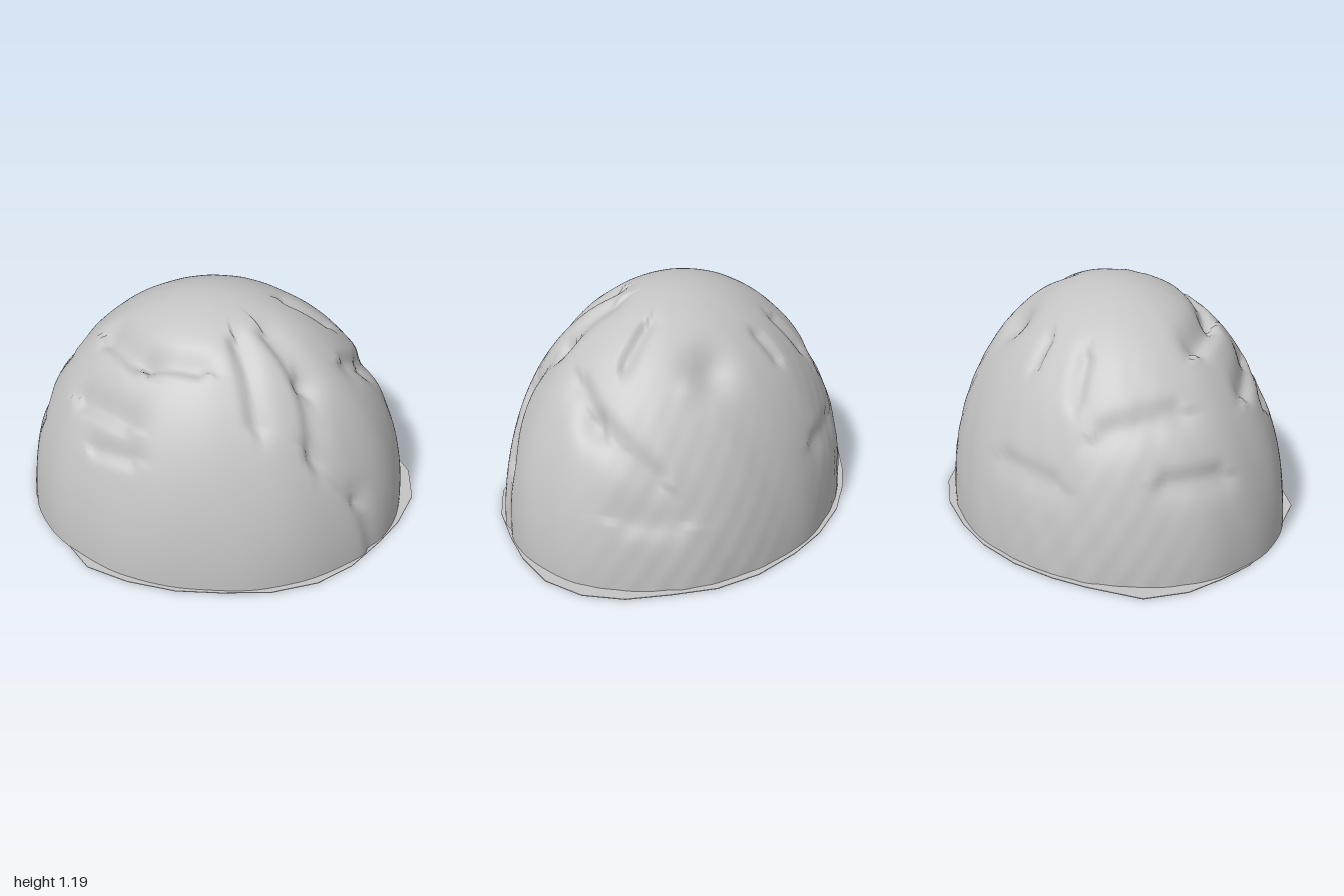
import * as THREE from 'three';
import { mergeVertices } from 'three/addons/utils/BufferGeometryUtils.js';

const RX = 0.955, RY = 1.19, RZ = 0.805, CX = -0.015;

// A plan position (x, z) lifted onto the unit hemisphere
function onDome(x, z) {
  const u = (x - CX) / RX, w = z / RZ;
  return new THREE.Vector3(u, Math.sqrt(Math.max(0, 1 - u * u - w * w)), w).normalize();
}

// Eroded grooves: start x, z, end x, z, soft width, depth (one side is steeper)
const grooves = [
  [-0.53, 0.14, -0.36, 0.34, 0.10, 0.045],
  [-0.30, 0.36, -0.06, 0.41, 0.08, 0.035],
  [-0.64, 0.34, -0.40, 0.52, 0.09, 0.04],
  [-0.55, 0.53, -0.36, 0.62, 0.07, 0.03],
  [0.10, 0.28, 0.22, 0.54, 0.08, 0.03],
  [0.24, 0.20, 0.42, 0.34, 0.10, 0.03],
  [0.42, 0.34, 0.50, 0.52, 0.09, 0.03],
  [0.50, 0.52, 0.72, 0.46, 0.08, 0.025],
  [0.72, 0.46, 0.80, 0.42, 0.08, 0.02],
  [0.66, -0.42, 0.70, -0.10, 0.10, 0.03],
  [0.70, -0.10, 0.62, 0.06, 0.09, 0.03],
  [0.32, -0.08, 0.50, -0.10, 0.06, 0.03],
  [-0.15, -0.52, -0.12, -0.43, 0.05, 0.025],
  [-0.44, -0.46, -0.36, -0.36, 0.06, 0.025],
  [-0.72, -0.10, -0.60, -0.42, 0.10, 0.025],
  [-0.88, 0.05, -0.84, -0.22, 0.08, 0.025],
  [0.80, -0.34, 0.66, -0.52, 0.12, 0.025],
  [-0.50, -0.62, -0.20, -0.72, 0.08, 0.02],
].map(([ax, az, bx, bz, width, depth]) => {
  const a = onDome(ax, az), b = onDome(bx, bz);
  return { line: new THREE.Line3(a, b), side: a.clone().cross(b), width, depth };
});

// Round hollow with a raised lip near the top at the back
const hollow = onDome(0.25, -0.42), lip = onDome(0.39, -0.40);

const near = new THREE.Vector3();
function erosion(p) {
  let cut = 0;
  for (const g of grooves) {
    g.line.closestPointToPoint(p, true, near);
    const w = g.width * (g.side.dot(p) > 0 ? 1 : 0.45);
    cut += g.depth * Math.exp(-((near.distanceTo(p) / w) ** 2));
  }
  cut += 0.055 * Math.exp(-((p.distanceTo(hollow) / 0.12) ** 2));
  cut -= 0.012 * Math.exp(-((p.distanceTo(lip) / 0.06) ** 2));
  // Streaks that run down the slopes and fade at the summit
  const a = Math.atan2(p.z, p.x), slope = 1 - p.y * p.y;
  const streak = Math.sin(a * 9 + 3 * p.y) + Math.sin(a * 17 - 5 * p.y + 1) * 0.6;
  cut += 0.003 * slope * (streak + 1.2);
  // Finer pitting on the back left and back right shoulders
  const rough = Math.max(0, -p.z) * Math.abs(p.x) * slope;
  cut += 0.009 * rough * (1 + Math.sin(a * 34 + 9 * p.y) * Math.sin(p.y * 26 + a * 6));
  return cut;
}

function domeGeometry() {
  let geo = new THREE.SphereGeometry(1, 192, 80, 0, Math.PI * 2, 0, Math.PI / 2);
  geo.deleteAttribute('uv');
  geo.deleteAttribute('normal');
  geo = mergeVertices(geo, 1e-5);
  const pos = geo.attributes.position, p = new THREE.Vector3();
  for (let i = 0; i < pos.count; i++) {
    p.fromBufferAttribute(pos, i);
    const s = 1 - erosion(p);
    pos.setXYZ(i, p.x * s * RX + CX, Math.max(0, p.y * s * RY), p.z * s * RZ);
  }
  geo.computeVertexNormals();
  return geo;
}

// Irregular outline of the thin base, x and z
const outline = [
  [-0.13, -0.82], [0.09, -0.82], [0.34, -0.78], [0.55, -0.69], [0.72, -0.55], [0.88, -0.4],
  [0.98, -0.22], [1, -0.01], [0.93, 0.2], [0.84, 0.36], [0.71, 0.55], [0.55, 0.69],
  [0.33, 0.78], [0.09, 0.81], [-0.13, 0.82], [-0.37, 0.78], [-0.58, 0.7], [-0.72, 0.53],
  [-0.87, 0.35], [-0.95, 0.17], [-0.985, -0.01], [-1, -0.2], [-0.94, -0.41], [-0.72, -0.585],
  [-0.57, -0.68], [-0.37, -0.77],
];

export function createModel() {
  const group = new THREE.Group();
  group.name = 'boulder';
  const stone = new THREE.MeshStandardMaterial({ color: 0xc4c4c4 });
  stone.name = 'grey stone';

  const dome = new THREE.Mesh(domeGeometry(), stone);
  dome.name = 'rockDome';

  const shape = new THREE.Shape(outline.map(([x, z]) => new THREE.Vector2(x, z)));
  const plate = new THREE.ExtrudeGeometry(shape, { depth: 0.004, bevelEnabled: false });
  plate.rotateX(Math.PI / 2).translate(0, 0.004, 0);
  const base = new THREE.Mesh(plate, stone);
  base.name = 'basePlate';

  group.add(dome, base);
  return group;
}
